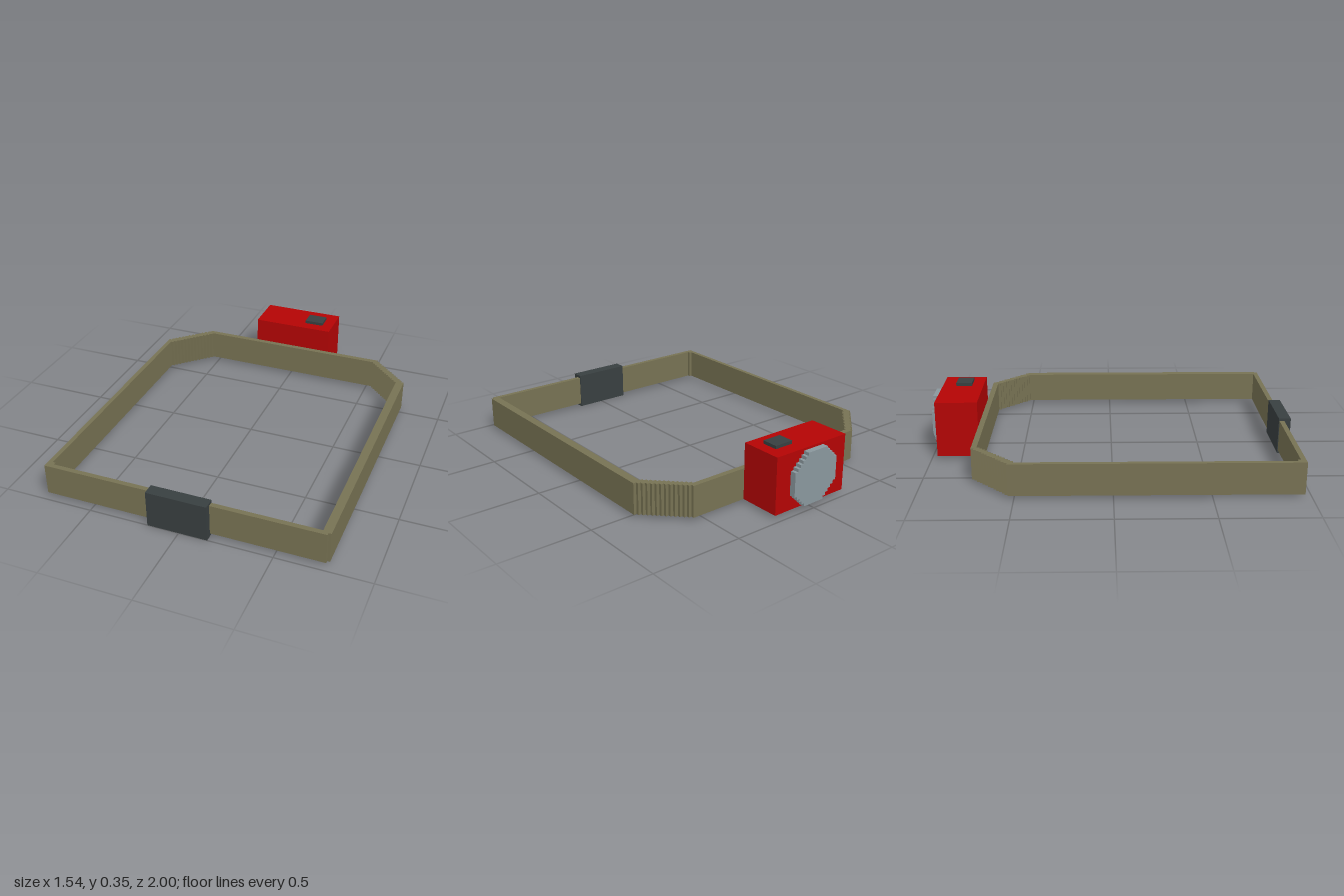
import * as THREE from 'three';

// Flat stepped run of points from one corner to another, x first and then z
function stairs(x0, z0, x1, z1, n) {
  const pts = [[x0, z0]];
  for (let i = 1; i <= n; i++) {
    const x = x0 + (x1 - x0) * i / n;
    pts.push([x, z0 + (z1 - z0) * (i - 1) / n], [x, z0 + (z1 - z0) * i / n]);
  }
  return pts;
}

const toVectors = (pts, sign) => pts.map(([x, y]) => new THREE.Vector2(x, sign * y));

export function createModel() {
  const group = new THREE.Group();
  const paint = (name, color) => {
    const m = new THREE.MeshStandardMaterial({ color });
    m.name = name;
    return m;
  };
  const olive = paint('olive webbing', 0x777253);
  const red = paint('red casing', 0xb40404);
  const charcoal = paint('charcoal plastic', 0x383f40);
  const grey = paint('grey lens', 0x8a979d);

  const add = (name, geometry, material) => {
    const mesh = new THREE.Mesh(geometry, material);
    mesh.name = name;
    group.add(mesh);
    return mesh;
  };
  // Box given by its lower and upper limits on each axis
  const box = (name, material, [x0, x1], [y0, y1], [z0, z1]) => {
    add(name, new THREE.BoxGeometry(x1 - x0, y1 - y0, z1 - z0), material)
      .position.set((x0 + x1) / 2, (y0 + y1) / 2, (z0 + z1) / 2);
  };

  // Strap: closed band with stepped rear corners
  const outer = [
    ...stairs(-0.77, -0.53, -0.56, -0.735, 13),
    ...stairs(0.77, -0.53, 0.56, -0.735, 13).reverse(),
    [0.77, 0.95], [0.755, 0.95], [0.755, 0.965], [-0.77, 0.965],
  ];
  const inner = [
    ...stairs(-0.745, -0.5, -0.54, -0.705, 13),
    ...stairs(0.725, -0.52, 0.54, -0.705, 12).reverse(),
    [0.725, 0.938], [-0.73, 0.938], [-0.73, 0.922], [-0.745, 0.922],
  ];
  // The hole runs against the outline so its walls face inward
  const band = new THREE.Shape(toVectors(outer, -1));
  band.holes.push(new THREE.Path(toVectors(inner.reverse(), -1)));
  const strap = new THREE.ExtrudeGeometry(band, { depth: 0.172, bevelEnabled: false });
  strap.rotateX(-Math.PI / 2);
  add('strap', strap, olive).position.y = 0.018;

  // Buckle at the front of the strap
  box('buckle', charcoal, [-0.173, 0.155], [0, 0.205], [0.934, 1]);

  // Lamp casing and its button
  box('lampCasing', red, [-0.237, 0.236], [0.018, 0.33], [-0.967, -0.735]);
  box('button', charcoal, [0.063, 0.173], [0.33, 0.347], [-0.89, -0.8]);

  // Lens: octagon with stepped diagonals
  const r = 0.143, f = 0.058;
  const octagon = [
    ...stairs(r, f, f, r, 5), ...stairs(-f, r, -r, f, 5),
    ...stairs(-r, -f, -f, -r, 5), ...stairs(f, -r, r, -f, 5),
  ];
  const lens = new THREE.ExtrudeGeometry(
    new THREE.Shape(toVectors(octagon, 1)), { depth: 0.033, bevelEnabled: false });
  add('lens', lens, grey).position.set(-0.002, 0.174, -1);

  return group;
}
